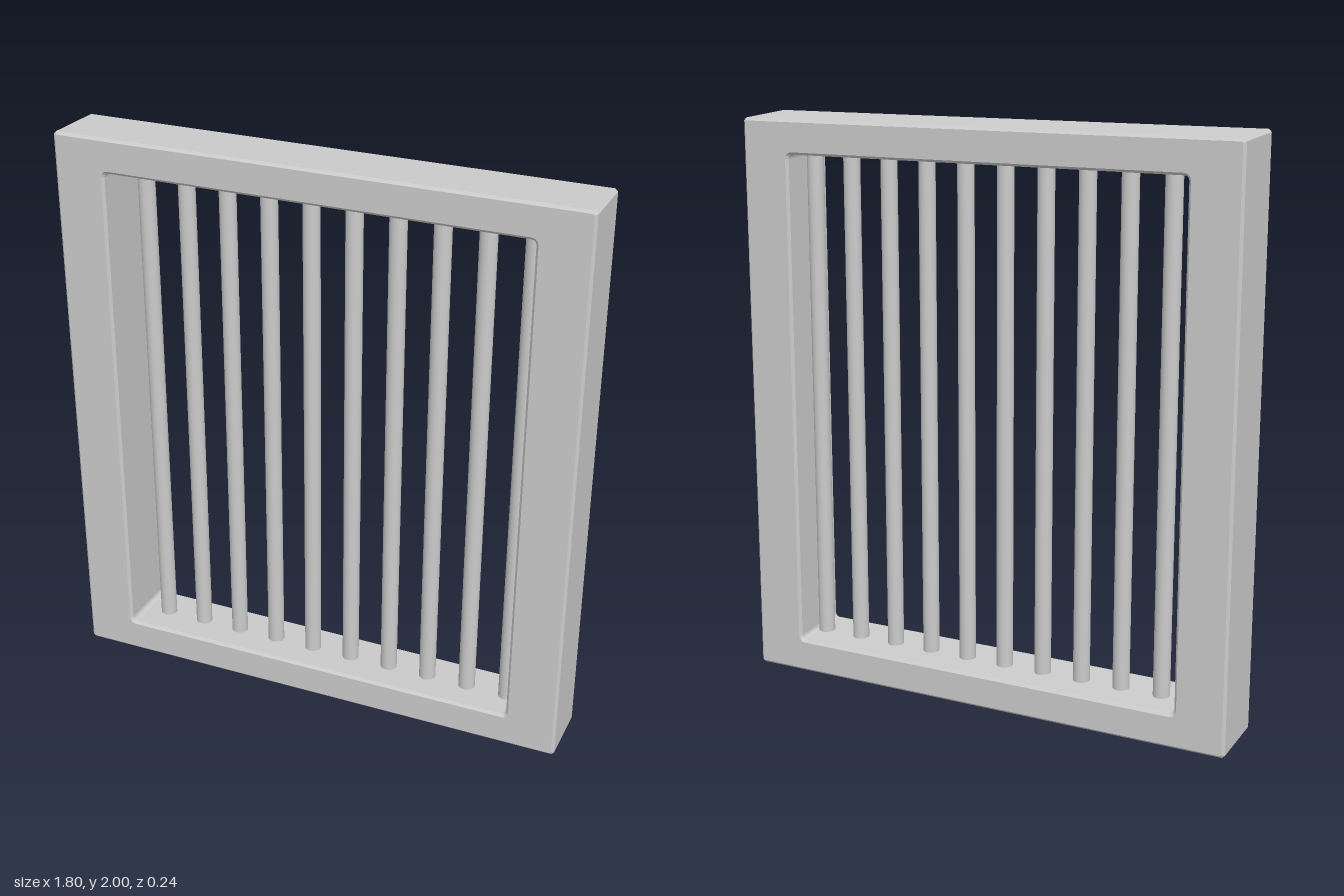
import * as THREE from 'three';

const material = new THREE.MeshStandardMaterial({ color: 0xcccccc });
const BEVEL = 0.009, DEPTH = 0.244, SLANT = 0.05;

// Corner points of a rectangle, each corner rounded in a few steps
function roundedRect(x, y0, y1, r, steps) {
  const points = [];
  const centers = [[x - r, y1 - r], [r - x, y1 - r], [r - x, y0 + r], [x - r, y0 + r]];
  centers.forEach(([cx, cy], corner) => {
    for (let i = 0; i <= steps; i++) {
      const a = (corner + i / steps) * Math.PI / 2;
      points.push(new THREE.Vector2(cx + r * Math.cos(a), cy + r * Math.sin(a)));
    }
  });
  return points;
}

export function createModel() {
  const group = new THREE.Group();
  group.name = 'barredWindow';

  // Frame with bevelled edges; its top and bottom faces slope slightly down to the back
  const outline = new THREE.Shape(roundedRect(0.893, 0.0145, 1.9855, 0.004, 1));
  outline.holes.push(new THREE.Path(roundedRect(0.733, 0.115, 1.885, 0.023, 3).reverse()));
  const frameGeometry = new THREE.ExtrudeGeometry(outline, {
    depth: DEPTH - 2 * BEVEL,
    bevelEnabled: true,
    bevelSize: BEVEL,
    bevelThickness: BEVEL,
    bevelSegments: 1,
  });
  frameGeometry.translate(0, 0, BEVEL - DEPTH / 2);
  frameGeometry.applyMatrix4(new THREE.Matrix4().set(
    1, 0, 0, 0,
    0, 1, SLANT, 0,
    0, 0, 1, 0,
    0, 0, 0, 1,
  ));
  const frame = new THREE.Mesh(frameGeometry, material);
  frame.name = 'frame';
  group.add(frame);

  // Row of evenly spaced round bars, set a little towards one side of the opening
  const bars = new THREE.Group();
  bars.name = 'bars';
  const barGeometry = new THREE.CylinderGeometry(0.029, 0.029, 1.77, 20);
  for (let i = 0; i < 10; i++) {
    const bar = new THREE.Mesh(barGeometry, material);
    bar.name = `bar${i + 1}`;
    bar.position.set(-0.633 + i * 0.147, 1, 0);
    bars.add(bar);
  }
  group.add(bars);

  return group;
}
